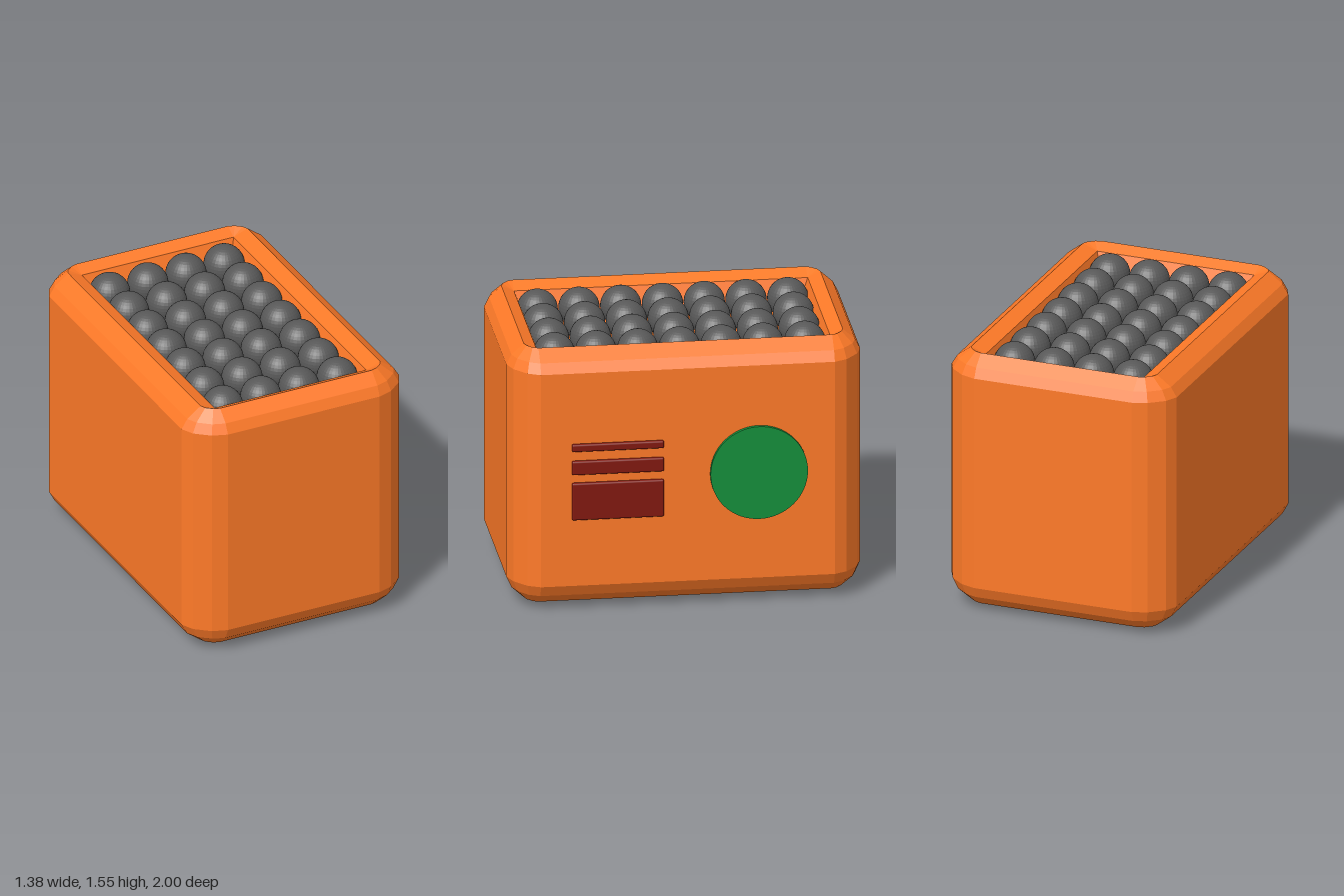
import * as THREE from 'three';
import { RoundedBoxGeometry } from 'three/addons/geometries/RoundedBoxGeometry.js';

const material = (color, flatShading = true) => new THREE.MeshStandardMaterial({ color, flatShading });
const CENTRE_X = -0.012;

// Bevelled corner profile, as fractions of the bevel size
const CORNER = [[1, 0], [0.83, 0.42], [0.42, 0.83], [0, 1]];

// Plan outline with bevelled corners: core half-sizes plus a bevel scaled by r
function ring(y, r, ex = 0.475, ez = 0.83) {
  const points = [];
  for (let q = 0; q < 4; q++) {
    const sx = q === 0 || q === 3 ? 1 : -1;
    const sz = q < 2 ? 1 : -1;
    const corner = q % 2 ? [...CORNER].reverse() : CORNER;
    for (const [cx, cz] of corner) {
      points.push([sx * (ex + 0.205 * r * cx), y, sz * (ez + 0.17 * r * cz)]);
    }
  }
  return points;
}

// Joins equal-length rings into one skin
function skin(rings) {
  const n = rings[0].length;
  const index = [];
  for (let k = 0; k < rings.length - 1; k++) {
    for (let i = 0; i < n; i++) {
      const j = (i + 1) % n;
      const a = k * n + i, b = k * n + j, c = b + n, d = a + n;
      index.push(a, d, c, a, c, b);
    }
  }
  const geometry = new THREE.BufferGeometry();
  geometry.setAttribute('position', new THREE.Float32BufferAttribute(rings.flat(2), 3));
  geometry.setIndex(index);
  geometry.computeVertexNormals();
  return geometry;
}

export function createModel() {
  const model = new THREE.Group();
  model.name = 'ballBox';

  function add(name, geometry, mat, x, y, z, parent = model) {
    const mesh = new THREE.Mesh(geometry, mat);
    mesh.name = name;
    mesh.position.set(x, y, z);
    parent.add(mesh);
    return mesh;
  }

  // Casing: base, bevelled sides, rim, then down into the tray
  const casing = skin([
    ring(0, 0, 0, 0),
    ring(0, 0),
    ring(0.027, 0.42),
    ring(0.09, 0.83),
    ring(0.155, 1),
    ring(1.42, 1),
    ring(1.477, 0.83),
    ring(1.54, 0.42),
    ring(1.505, 0),
    ring(1.33, 0, 0.415, 0.76),
    ring(1.33, 0, 0, 0),
  ]);
  add('casing', casing, material(0xff7a28), CENTRE_X, 0, 0);

  // Balls in the tray
  const balls = new THREE.Group();
  balls.name = 'balls';
  model.add(balls);
  const ballGeometry = new THREE.SphereGeometry(0.116, 32, 20);
  const ballMaterial = material(0x585858);
  for (let row = 0; row < 7; row++) {
    for (let column = 0; column < 4; column++) {
      add('ball', ballGeometry, ballMaterial,
        -0.377 + column * 0.239, 1.43, -0.703 + row * 0.236, balls);
    }
  }

  // Round button on the left side
  const button = add('roundButton', new THREE.CylinderGeometry(0.275, 0.275, 0.04, 64),
    material(0x148f3b, false), 0.67, 0.787, -0.4);
  button.rotation.z = -Math.PI / 2;

  // Stack of side panels: centre height and height of each
  const panelMaterial = material(0x82180f, false);
  for (const [y, height] of [[0.66, 0.22], [0.86, 0.082], [0.979, 0.044]]) {
    add('sidePanel', new RoundedBoxGeometry(0.04, height, 0.52, 2, 0.01),
      panelMaterial, 0.668, y, 0.397);
  }

  return model;
}
